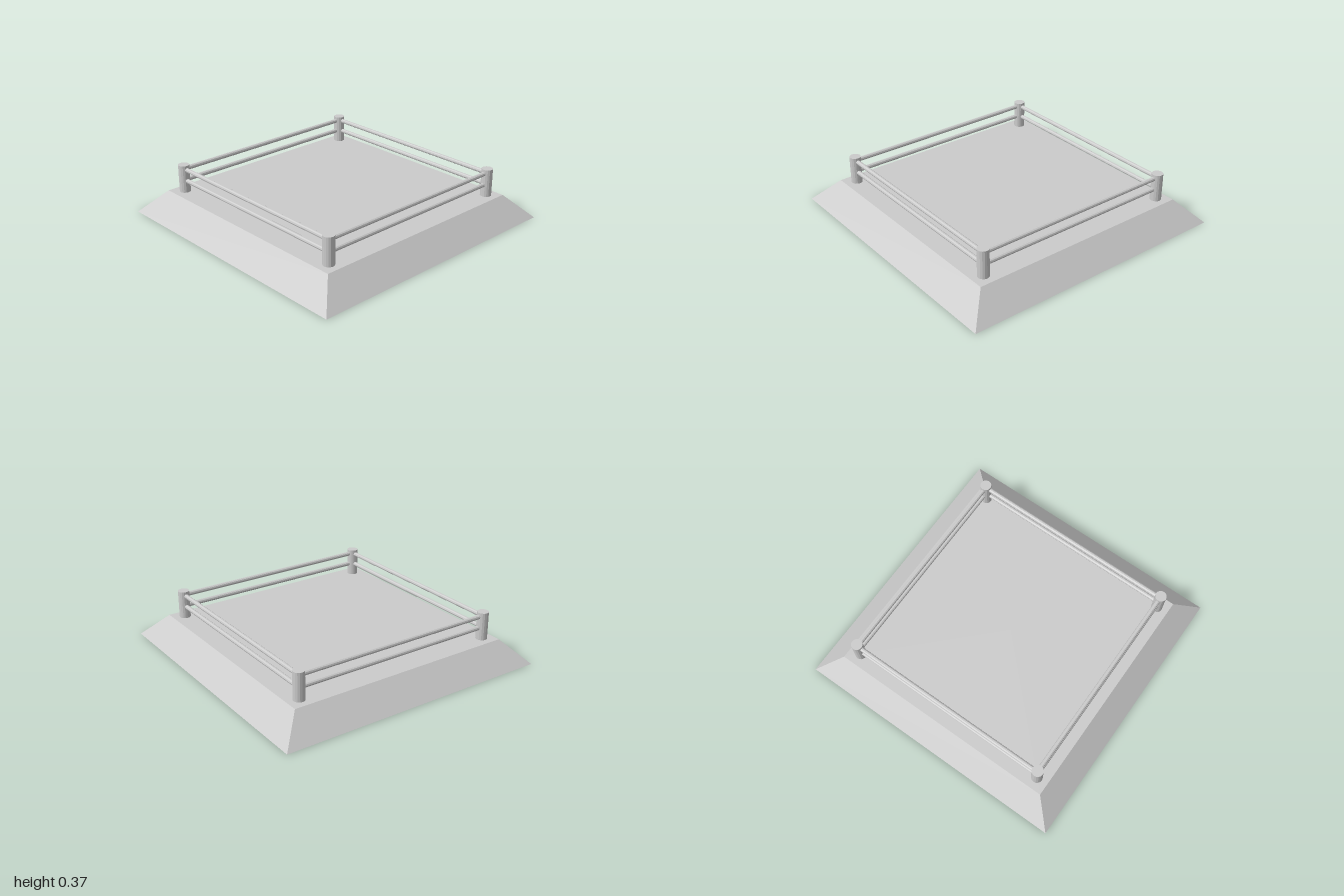
import * as THREE from 'three';

const BASE_H = 0.17, POST_TOP = 0.37, POST_R = 0.04, CORNER = 0.75, RAIL_R = 0.016;
const RAIL_HEIGHTS = [0.255, 0.338];

export function createModel() {
  const model = new THREE.Group();
  model.name = 'railedPlatform';
  const material = new THREE.MeshStandardMaterial({ color: 0xcccccc, flatShading: true });

  const add = (name, geometry, parent) => {
    const mesh = new THREE.Mesh(geometry, material);
    mesh.name = name;
    parent.add(mesh);
    return mesh;
  };

  // Sloped square base: a four-sided frustum turned to face the axes
  const base = new THREE.CylinderGeometry(0.835 * Math.SQRT2, Math.SQRT2, BASE_H, 4);
  base.rotateY(Math.PI / 4).translate(0, BASE_H / 2, 0);
  add('base', base, model);

  // One post and one pair of rails per side, repeated around the square
  const postH = POST_TOP - BASE_H;
  const postGeometry = new THREE.CylinderGeometry(POST_R, POST_R, postH, 16);
  const railGeometry = new THREE.CylinderGeometry(RAIL_R, RAIL_R, CORNER * 2, 10, 1, true);
  railGeometry.rotateZ(Math.PI / 2);

  for (let i = 0; i < 4; i++) {
    const side = new THREE.Group();
    side.name = 'railingSide';
    side.rotation.y = i * Math.PI / 2;
    model.add(side);
    add('cornerPost', postGeometry, side).position.set(CORNER, BASE_H + postH / 2, CORNER);
    for (const y of RAIL_HEIGHTS) add('rail', railGeometry, side).position.set(0, y, CORNER);
  }
  return model;
}
